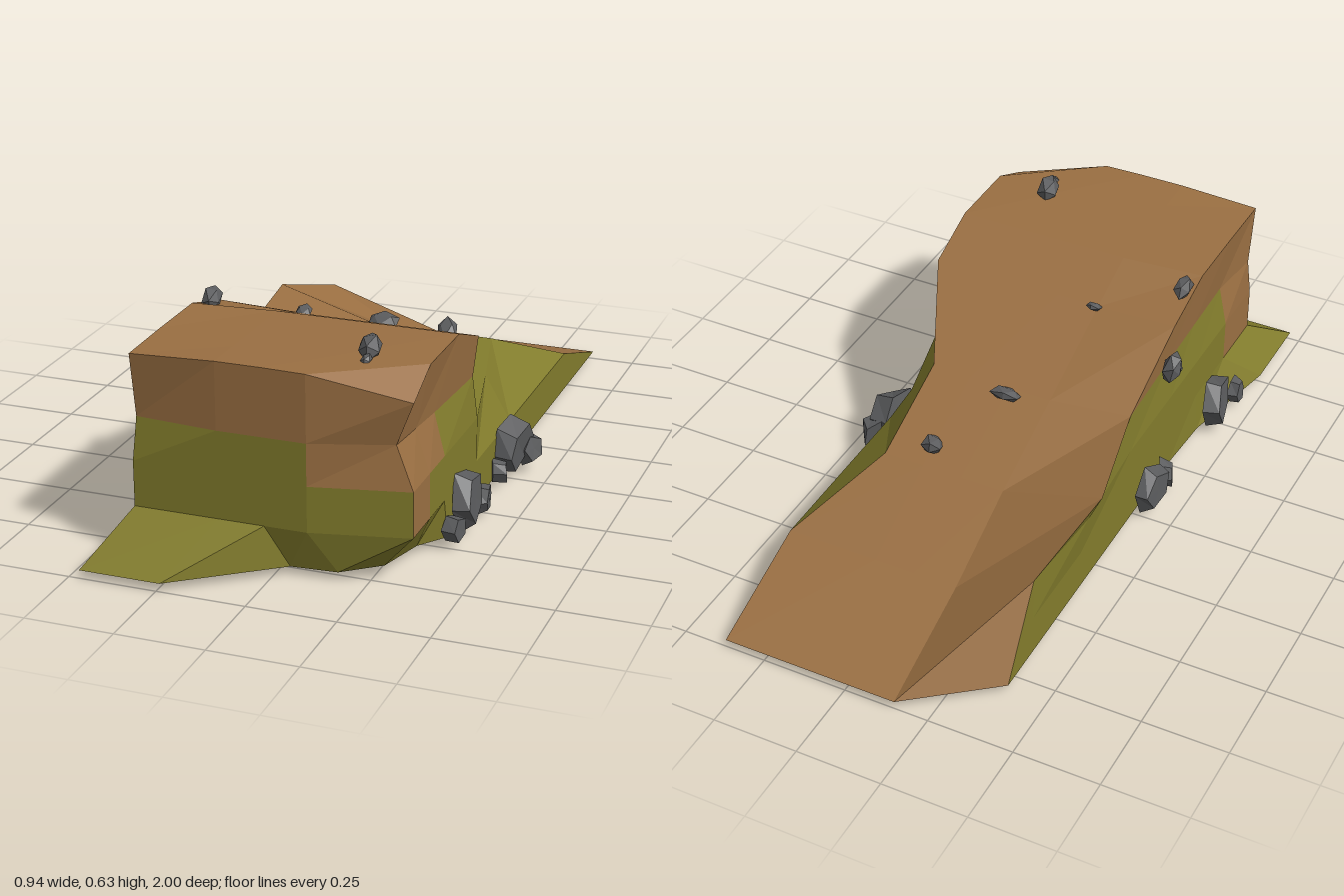
import * as THREE from 'three';

const mat = (color) => new THREE.MeshStandardMaterial({ color, flatShading: true });
const earth = mat(0x9a6f42), grass = mat(0x827c2c), stone = mat(0x5c5d5f);
const GROUND = 0.02;

// One vertical line of the bank: top [x,y,z], wall foot, base, waist and middle [x,z].
const col = (top, wall, base = wall, waist = wall, mid = wall) => {
  const at = ([x, z], y) => (y >= top[1] ? top : [x, y, z]);
  return [at(base, GROUND), at(wall, 0.14), at(mid, 0.27), at(waist, 0.39), top];
};

// Columns of the -x side, from the low end to the front
const sideA = [
  col([-0.39, 0.02, -0.81], [-0.39, -0.81]),
  col([-0.39, 0.27, -0.66], [-0.39, -0.66]),
  col([-0.45, 0.36, -0.37], [-0.39, -0.37], undefined, undefined, [-0.41, -0.37]),
  col([-0.385, 0.39, -0.05], [-0.39, -0.05]),
  col([-0.39, 0.52, 0.23], [-0.39, 0.23], [-0.39, 0.23], [-0.375, 0.23]),
  col([-0.39, 0.575, 0.42], [-0.39, 0.42], [-0.40, 0.42], [-0.37, 0.42]),
  col([-0.39, 0.575, 0.63], [-0.39, 0.63], [-0.47, 0.75], [-0.365, 0.63]),
  col([-0.39, 0.572, 0.82], [-0.39, 0.82], [-0.47, 1.0], [-0.385, 0.80]),
];
// Columns of the front
const front = [
  col([-0.15, 0.582, 0.82], [-0.15, 0.82], [-0.24, 1.0]),
  col([-0.02, 0.582, 0.82], [-0.02, 0.82], [0.04, 0.79]),
  col([0.10, 0.58, 0.82], [0.10, 0.82], [0.17, 0.78]),
];
// Columns of the +x side, from the front to the low end
const sideB = [
  col([0.37, 0.515, 0.76], [0.37, 0.76], [0.27, 0.70], [0.32, 0.75]),
  col([0.37, 0.575, 0.63], [0.37, 0.63], [0.31, 0.56], [0.33, 0.63]),
  col([0.37, 0.575, 0.40], [0.37, 0.51], [0.37, 0.48], [0.34, 0.51]),
  col([0.37, 0.51, 0.23], [0.37, 0.23], [0.37, 0.23], [0.355, 0.23]),
  col([0.22, 0.385, -0.08], [0.37, -0.08], [0.37, -0.08], [0.22, -0.08], [0.295, -0.08]),
  col([0.22, 0.27, -0.37], [0.37, -0.37]),
  col([0.37, 0.14, -0.65], [0.37, -0.65]),
  col([0.37, 0.02, -1.0], [0.37, -1.0]),
];

// Collects quads as flat triangles, leaving out collapsed ones
function addQuad(list, a, b, c, d) {
  for (const tri of [[a, b, c], [a, c, d]]) {
    const [p, q, r] = tri.map((v) => new THREE.Vector3(...v));
    if (new THREE.Triangle(p, q, r).getArea() > 1e-6) list.push(...tri.flat());
  }
}

function surface(name, list, material) {
  const g = new THREE.BufferGeometry();
  g.setAttribute('position', new THREE.Float32BufferAttribute(list, 3));
  g.computeVertexNormals();
  const m = new THREE.Mesh(g, material);
  m.name = name;
  return m;
}

function buildBank() {
  const bank = new THREE.Group();
  bank.name = 'bank';
  const soil = [], turf = [], path = [];

  // Walls: bare soil along the top and in a few patches near the front corners
  const ring = [...sideA, ...front, ...sideB];
  const bare = new Set(['6,1', '6,2', '10,2', '11,1', '11,2', '12,2']);
  for (let j = 0; j + 1 < ring.length; j++) {
    for (let k = 0; k < 4; k++) {
      const a = ring[j], b = ring[j + 1];
      addQuad(k === 3 || bare.has(`${j},${k}`) ? soil : turf, a[k], b[k], b[k + 1], a[k + 1]);
    }
  }

  // Top: rows from the front edge down to the low end
  const rows = sideB.map((right, i) => {
    const r = right[4], l = sideA[7 - i][4];
    const inner = i === 0
      ? front.map((c) => c[4])
      : [-0.15, -0.02, 0.10].map((x) => [x, i === 1 ? 0.58 : r[1], i === 1 ? 0.70 : r[2]]);
    return [l, ...inner, r];
  });
  for (let i = 0; i + 1 < rows.length; i++) {
    for (let c = 0; c < 4; c++) {
      addQuad(path, rows[i][c], rows[i][c + 1], rows[i + 1][c + 1], rows[i + 1][c]);
    }
  }

  // Flat underside
  const outline = ring.map((c) => new THREE.Vector2(c[0][0], c[0][2]));
  outline.push(new THREE.Vector2(-0.15, -1));
  const under = new THREE.Mesh(new THREE.ShapeGeometry(new THREE.Shape(outline)).rotateX(Math.PI / 2), grass);
  under.position.y = GROUND;
  under.name = 'underside';

  bank.add(surface('soilWall', soil, earth), surface('grassWall', turf, grass),
    surface('rampTop', path, earth), under);
  return bank;
}

// Uneven stone: vertices pushed in or out by a rule of their position
function rock(name, geometry, [x, y, z], [w, h, d], [rx, ry, rz] = [0, 0, 0]) {
  const p = geometry.attributes.position;
  for (let i = 0; i < p.count; i++) {
    const n = Math.sin(p.getX(i) * 9 + p.getY(i) * 14 + p.getZ(i) * 5 + x * 31 + z * 17);
    const k = 1 + 0.12 * n;
    p.setXYZ(i, p.getX(i) * k, p.getY(i) * k, p.getZ(i) * k);
  }
  const m = new THREE.Mesh(geometry, stone);
  m.scale.set(w, h, d);
  m.rotation.set(rx, ry, rz);
  m.position.set(x, y, z);
  m.name = name;
  return m;
}
const slab = (sides) => new THREE.CylinderGeometry(0.42, 0.52, 1, sides).rotateZ(-Math.PI / 2);

export function createModel() {
  const model = new THREE.Group();
  model.name = 'earthRamp';
  model.add(buildBank());

  // Upright slabs leaning on both sides: position, size, turn
  const slabs = [
    [[0.395, 0.10, 0.385], [0.05, 0.18, 0.17], [0.1, 0.05, 0.06]],
    [[0.40, 0.05, 0.27], [0.04, 0.09, 0.09], [0, 0.2, 0]],
    [[0.39, 0.055, 0.49], [0.04, 0.08, 0.07], [0, -0.2, 0]],
    [[0.40, 0.095, -0.01], [0.06, 0.16, 0.16], [0.2, -0.15, -0.1]],
    [[0.435, 0.07, -0.07], [0.05, 0.10, 0.08], [0, -0.7, 0.2]],
    [[0.39, 0.05, 0.08], [0.04, 0.07, 0.05], [0, 0.3, 0]],
    [[-0.43, 0.10, 0.48], [0.05, 0.16, 0.17], [0.1, Math.PI + 0.2, 0.1]],
    [[-0.45, 0.06, 0.60], [0.03, 0.09, 0.07], [0, Math.PI, 0]],
    [[-0.43, 0.09, 0.03], [0.04, 0.15, 0.15], [0.1, Math.PI - 0.15, 0]],
    [[-0.42, 0.06, 0.14], [0.04, 0.09, 0.07], [0, Math.PI + 0.3, 0]],
  ];
  slabs.forEach(([p, s, r], i) => model.add(rock('sideSlab', slab(5 + (i % 2)), p, s, r)));

  // Loose stones on the ramp and one caught in the -x wall
  const stones = [
    [[0.195, 0.59, 0.61], [0.033, 0.038, 0.055], [0, 0.2, 0]],
    [[0.21, 0.58, 0.67], [0.015, 0.015, 0.025]],
    [[-0.36, 0.57, 0.35], [0.028, 0.032, 0.055], [0.2, 0.2, 0]],
    [[-0.03, 0.385, -0.11], [0.05, 0.02, 0.035], [0.4, 0, 0]],
    [[0.10, 0.30, -0.31], [0.033, 0.028, 0.05], [0.4, 0.2, 0]],
    [[-0.14, 0.515, 0.22], [0.025, 0.012, 0.025], [0.4, 0, 0]],
    [[-0.415, 0.42, 0.17], [0.03, 0.048, 0.05], [0, 0.3, 0.2]],
    [[-0.405, 0.38, 0.22], [0.02, 0.02, 0.025]],
  ];
  stones.forEach(([p, s, r]) => model.add(rock('looseStone', new THREE.IcosahedronGeometry(1, 0), p, s, r)));
  return model;
}
